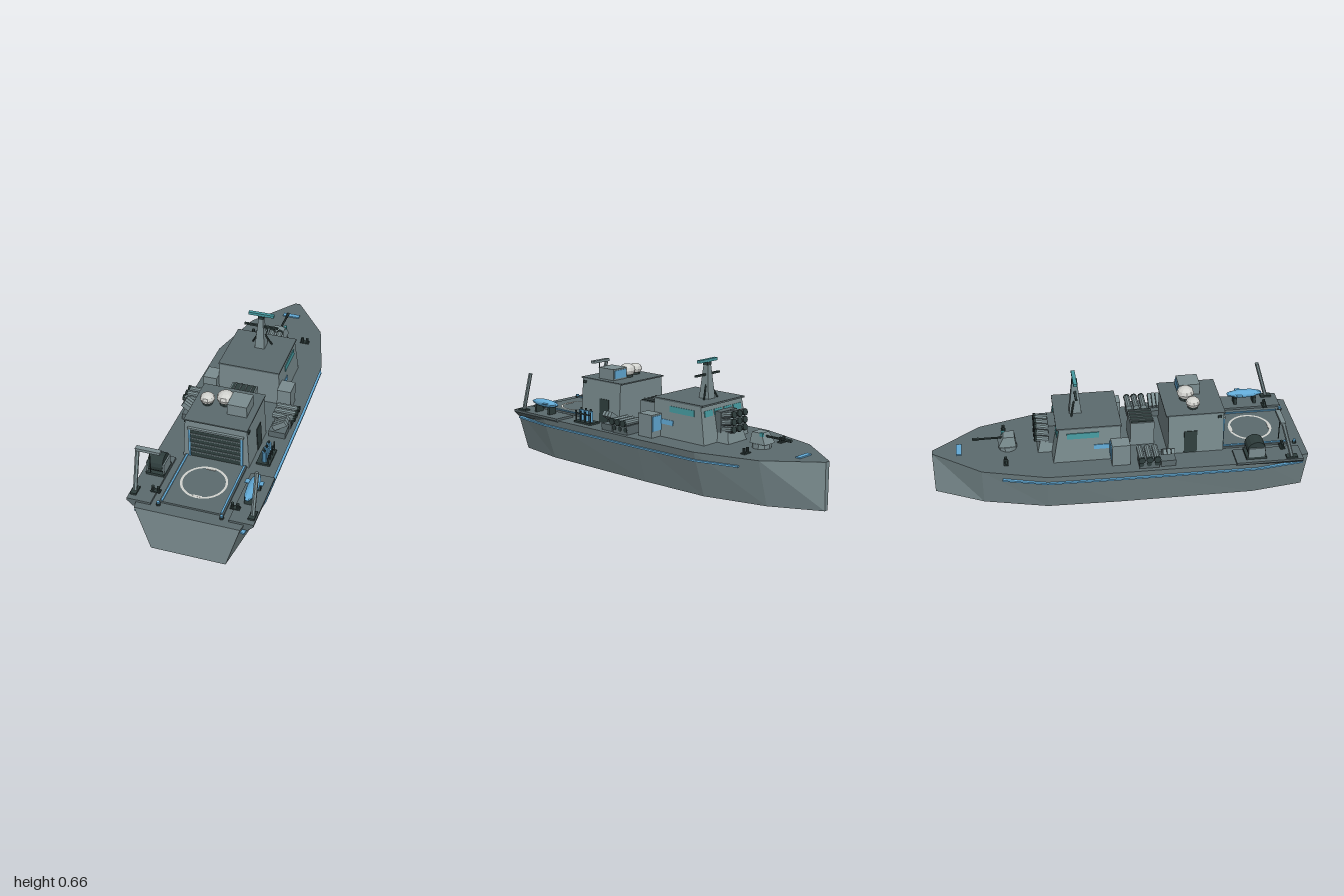
import * as THREE from 'three';

const mat = (name, color) => Object.assign(new THREE.MeshStandardMaterial({ color, flatShading: true }), { name });

export function createModel() {
  const root = new THREE.Group();
  root.name = 'patrolShip';
  const grey = mat('hull grey', 0x7b8d90), deck = mat('deck grey', 0x5c6b6e), dark = mat('dark steel', 0x2f3e3d),
    blue = mat('blue trim', 0x62aad6), teal = mat('teal glass', 0x469aa0), white = mat('dome white', 0xd2d3cf);

  // Helpers
  const add = (name, geo, m, x = 0, y = 0, z = 0, rx = 0, ry = 0, rz = 0) => {
    const o = new THREE.Mesh(geo, m);
    o.name = name;
    o.position.set(x, y, z);
    o.rotation.set(rx, ry, rz);
    root.add(o);
    return o;
  };
  // box given by its extents
  const span = (name, m, x0, x1, y0, y1, z0, z1) =>
    add(name, new THREE.BoxGeometry(x1 - x0, y1 - y0, z1 - z0), m, (x0 + x1) / 2, (y0 + y1) / 2, (z0 + z1) / 2);
  const box = (name, m, w, h, d, x, y, z, rx, ry, rz) => add(name, new THREE.BoxGeometry(w, h, d), m, x, y, z, rx, ry, rz);
  const cyl = (name, m, r, h, x, y, z, rx, rz, r2 = r, n = 10) =>
    add(name, new THREE.CylinderGeometry(r2, r, h, n), m, x, y, z, rx, 0, rz);
  // tapered block: [halfWidth, zMin, zMax] at the bottom and at the top
  const taper = (name, m, y0, y1, bot, top) => {
    const g = new THREE.BoxGeometry(2, 1, 2), p = g.attributes.position;
    for (let i = 0; i < p.count; i++) {
      const s = p.getY(i) > 0 ? top : bot;
      p.setXYZ(i, p.getX(i) * s[0], p.getY(i) > 0 ? y1 : y0, p.getZ(i) > 0 ? s[2] : s[1]);
    }
    g.computeVertexNormals();
    return add(name, g, m);
  };
  const rod = (name, m, a, b, r) => {
    const A = new THREE.Vector3(...a), B = new THREE.Vector3(...b);
    const o = cyl(name, m, r, A.distanceTo(B), 0, 0, 0, 0, 0, r, 6);
    o.position.copy(A).add(B).multiplyScalar(0.5);
    o.quaternion.setFromUnitVectors(new THREE.Vector3(0, 1, 0), B.sub(A).normalize());
    return o;
  };

  // Hull from stations: z, deck half width, keel half width
  const stations = [[1, 0.27, 0.195], [0.72, 0.317, 0.235], [0, 0.312, 0.235],
    [-0.4, 0.306, 0.225], [-0.74, 0.212, 0.14], [-1, 0.015, 0.012]];
  const rings = stations.map(([z, t, b]) => [[t, 0.25, z], [b, 0, z], [-b, 0, z], [-t, 0.25, z]]);
  const sides = [], top = [];
  const quad = (out, a, b, c, d) => out.push(...a, ...b, ...c, ...a, ...c, ...d);
  for (let i = 0; i < rings.length - 1; i++) {
    for (let k = 0; k < 4; k++) {
      const n = (k + 1) % 4;
      quad(k === 3 ? top : sides, rings[i][k], rings[i][n], rings[i + 1][n], rings[i + 1][k]);
    }
  }
  quad(sides, ...[...rings[0]].reverse());
  quad(sides, ...rings[rings.length - 1]);
  const mesh = (name, tri, m) => {
    const g = new THREE.BufferGeometry();
    g.setAttribute('position', new THREE.Float32BufferAttribute(tri, 3));
    // orient every face outward from the hull middle
    const p = g.attributes.position, v = [0, 1, 2].map(() => new THREE.Vector3());
    for (let i = 0; i < p.count; i += 3) {
      v.forEach((q, k) => q.fromBufferAttribute(p, i + k));
      const nrm = v[1].clone().sub(v[0]).cross(v[2].clone().sub(v[0]));
      if (nrm.dot(v[0].clone().sub(new THREE.Vector3(0, 0.125, 0))) < 0) {
        p.setXYZ(i + 1, v[2].x, v[2].y, v[2].z);
        p.setXYZ(i + 2, v[1].x, v[1].y, v[1].z);
      }
    }
    g.computeVertexNormals();
    return add(name, g, m);
  };
  mesh('hull', sides, grey);
  mesh('mainDeck', top, deck);

  // Paired hull and deck fittings
  const sponson = new THREE.Shape([[0.2, 0.22], [0.295, 0.22], [0.325, 0.25], [0.325, 0.262], [0.2, 0.262]]
    .map(([x, y]) => new THREE.Vector2(x, y)));
  const rub = [[0.272, 0.97], [0.306, 0.72], [0.302, 0], [0.295, -0.4], [0.235, -0.63]];
  for (const s of [-1, 1]) {
    const g = new THREE.ExtrudeGeometry(sponson, { depth: 0.36, bevelEnabled: false });
    add('sternPlatform', g, deck, 0, 0, s > 0 ? 0.6 : 0.96, 0, s > 0 ? 0 : Math.PI);
    for (let i = 0; i < rub.length - 1; i++) {
      const [x0, z0] = rub[i], [x1, z1] = rub[i + 1];
      box('rubRail', blue, 0.02, 0.009, Math.hypot(x1 - x0, z1 - z0) + 0.005,
        s * (x0 + x1) / 2, 0.205, (z0 + z1) / 2, 0, s * Math.atan2(x0 - x1, z0 - z1));
    }
    // bollards
    for (const [x, y, z] of [[0.15, 0.25, -0.61], [0.205, 0.262, 0.87]]) {
      box('bollardBase', dark, 0.05, 0.006, 0.026, s * x, y + 0.003, z);
      for (const d of [-0.014, 0.014]) cyl('bollardPost', dark, 0.008, 0.03, s * x + d, y + 0.015, z);
    }
    // deck lights
    cyl('lightBase', dark, 0.011, 0.012, s * 0.162, 0.258, 0.95);
    cyl('deckLight', blue, 0.008, 0.01, s * 0.162, 0.268, 0.95);
    // davit posts
    rod('davitPost', grey, [s * 0.303, 0.25, 0.905], [s * 0.303, 0.485, 0.835], 0.011);
    span('davitFoot', dark, s * 0.303 - 0.016, s * 0.303 + 0.016, 0.262, 0.272, 0.87, 0.93);
    // bridge wing lockers
    const x = s * 0.208;
    span('wingLocker', grey, x - 0.038, x + 0.038, 0.25, 0.373, -0.055, 0.042);
    span('lockerPanel', blue, x - 0.034, x + 0.034, 0.285, 0.365, -0.06, -0.054);
    box('wingPanel', blue, 0.008, 0.026, 0.085, s * 0.174, 0.332, -0.1, 0, 0, s * 0.075);
    // triple deck tubes
    span('tubeMount', deck, s * 0.245 - 0.045, s * 0.245 + 0.045, 0.25, 0.298, 0.085, 0.19);
    for (const z of [0.095, 0.136, 0.177]) {
      cyl('deckTube', grey, 0.017, 0.115, s * 0.247, 0.315, z, 0, Math.PI / 2);
      cyl('tubeCap', dark, 0.0185, 0.012, s * 0.306, 0.315, z, 0, Math.PI / 2);
      cyl('lowerCap', dark, 0.013, 0.006, s * 0.291, 0.277, z, 0, Math.PI / 2);
    }
    // angled decoy launcher
    span('decoyBase', deck, s * 0.24 - 0.045, s * 0.24 + 0.045, 0.25, 0.285, 0.2, 0.28);
    for (const z of [0.218, 0.24, 0.262]) box('decoyTube', grey, 0.08, 0.03, 0.019, s * 0.25, 0.32, z, 0, 0, s * 0.6);
  }
  span('bowPlate', blue, -0.048, 0.048, 0.25, 0.257, -0.87, -0.842);

  // Helicopter deck
  span('flightDeck', deck, -0.165, 0.165, 0.25, 0.26, 0.55, 0.93);
  for (const s of [-1, 1]) {
    span('deckEdgeStrip', blue, s * 0.153 - 0.005, s * 0.153 + 0.005, 0.26, 0.265, 0.56, 0.925);
    span('landingTick', white, -0.025, 0.025, 0.26, 0.263, 0.74 + s * 0.105 - 0.005, 0.74 + s * 0.105 + 0.005);
  }
  add('landingRing', new THREE.RingGeometry(0.108, 0.12, 32), white, 0, 0.2625, 0.74, -Math.PI / 2);

  // Hangar
  taper('hangar', grey, 0.25, 0.48, [0.176, 0.255, 0.555], [0.163, 0.255, 0.55]);
  span('hangarRoof', deck, -0.167, 0.167, 0.479, 0.486, 0.242, 0.558);
  span('hangarDoor', dark, -0.134, 0.134, 0.26, 0.43, 0.55, 0.559);
  for (let i = 0; i < 5; i++) box('doorSlat', grey, 0.266, 0.005, 0.006, 0, 0.29 + i * 0.0285, 0.56);
  span('doorLintel', grey, -0.147, 0.147, 0.43, 0.44, 0.55, 0.565);
  for (const s of [-1, 1]) {
    box('doorJamb', blue, 0.01, 0.168, 0.01, s * 0.139, 0.345, 0.558);
    box('sideDoor', dark, 0.008, 0.13, 0.07, s * 0.172, 0.318, 0.375, 0, 0, s * 0.056);
    box('roofLamp', dark, 0.01, 0.014, 0.02, s * 0.166, 0.46, 0.53);
  }

  // Hangar roof equipment
  for (const [x, z, r, y] of [[-0.096, 0.395, 0.039, 0.517], [-0.006, 0.37, 0.047, 0.524]]) {
    cyl('domeBase', dark, r * 0.7, 0.02, x, 0.493, z);
    add('sensorDome', new THREE.SphereGeometry(r, 10, 6), white, x, y, z).scale.y = 0.78;
  }
  span('roofCabinet', grey, 0.028, 0.132, 0.486, 0.548, 0.34, 0.455);
  span('cabinetPanel', blue, 0.036, 0.124, 0.495, 0.54, 0.335, 0.341);

  // Bridge
  taper('bridge', grey, 0.25, 0.447, [0.18, -0.36, 0], [0.165, -0.325, 0]);
  span('bridgeRoof', deck, -0.17, 0.17, 0.445, 0.454, -0.34, 0.005);
  for (const s of [-1, 1]) box('sideWindow', teal, 0.008, 0.032, 0.17, s * 0.169, 0.405, -0.2, 0, 0, s * 0.075);
  for (const x of [-0.115, -0.038, 0.038, 0.115])
    box('frontWindow', teal, 0.062, 0.032, 0.008, x, 0.405, -0.333, 0.176);

  // Mast and radar
  taper('mast', grey, 0.45, 0.63, [0.028, -0.258, -0.192], [0.013, -0.24, -0.21]);
  span('mastCap', dark, -0.015, 0.015, 0.63, 0.647, -0.24, -0.21);
  span('radarBar', teal, -0.071, 0.071, 0.647, 0.662, -0.236, -0.216);
  span('yard', dark, -0.095, 0.095, 0.576, 0.586, -0.231, -0.219);
  for (const s of [-1, 1]) rod('mastStrut', dark, [s * 0.055, 0.453, -0.25], [s * 0.012, 0.54, -0.228], 0.005);

  // Forward launcher
  taper('launcherBase', grey, 0.25, 0.31, [0.075, -0.435, -0.35], [0.06, -0.42, -0.35]);
  span('launcherFrame', deck, -0.065, 0.065, 0.3, 0.41, -0.375, -0.33);
  for (const x of [-0.045, 0, 0.045]) {
    for (let r = 0; r < 3; r++) {
      const y = 0.315 + r * 0.04, tilt = -Math.PI / 2 + 0.2;
      cyl('launchTube', grey, 0.017, 0.09, x, y, -0.4, tilt, 0);
      cyl('tubeMouth', dark, 0.0185, 0.012, x, y + 0.009, -0.444, tilt, 0);
    }
  }

  // Bow gun
  cyl('gunRing', grey, 0.05, 0.026, 0, 0.263, -0.593);
  taper('gunTurret', grey, 0.275, 0.332, [0.043, -0.645, -0.548], [0.032, -0.615, -0.555]);
  rod('gunBarrel', dark, [0, 0.314, -0.62], [0, 0.314, -0.76], 0.006);
  rod('gunMuzzle', dark, [0, 0.314, -0.745], [0, 0.314, -0.78], 0.009);
  span('gunSight', teal, 0.022, 0.036, 0.315, 0.335, -0.625, -0.605);

  // Midship engine vent
  span('ventHouse', grey, -0.07, 0.07, 0.25, 0.39, 0.065, 0.195);
  span('ventGrille', dark, -0.062, 0.062, 0.39, 0.394, 0.07, 0.19);
  for (let i = 0; i < 4; i++) box('ventSlat', grey, 0.006, 0.008, 0.12, -0.045 + i * 0.03, 0.395, 0.13);

  // Gas bottle rack
  span('bottleTray', dark, 0.2, 0.272, 0.25, 0.26, 0.385, 0.515);
  for (const z of [0.415, 0.452, 0.489]) {
    cyl('gasBottle', blue, 0.013, 0.06, 0.237, 0.29, z);
    cyl('bottleValve', dark, 0.006, 0.012, 0.237, 0.325, z);
  }
  for (const z of [0.395, 0.433, 0.471, 0.508]) span('rackPost', dark, 0.258, 0.264, 0.26, 0.318, z - 0.003, z + 0.003);
  span('rackRail', dark, 0.258, 0.264, 0.3, 0.306, 0.392, 0.511);

  // Winch with davit arm and cable
  cyl('winchDrum', dark, 0.05, 0.08, -0.252, 0.314, 0.71, 0, Math.PI / 2, 0.05, 14);
  for (const x of [-0.296, -0.208]) span('winchCheek', grey, x - 0.004, x + 0.004, 0.262, 0.33, 0.665, 0.755);
  span('winchBase', dark, -0.3, -0.204, 0.262, 0.275, 0.655, 0.765);
  span('davitArm', grey, -0.312, -0.184, 0.475, 0.49, 0.822, 0.848);
  rod('davitCable', dark, [-0.242, 0.475, 0.835], [-0.242, 0.345, 0.835], 0.003);

  // Survey craft on its cradle
  add('surveyCraft', new THREE.SphereGeometry(1, 10, 8), blue, 0.26, 0.318, 0.763).scale.set(0.03, 0.022, 0.105);
  span('craftFin', blue, 0.212, 0.305, 0.32, 0.325, 0.715, 0.745);
  for (const z of [0.71, 0.82]) span('craftCradle', dark, 0.235, 0.285, 0.262, 0.303, z - 0.008, z + 0.008);
  return root;
}
